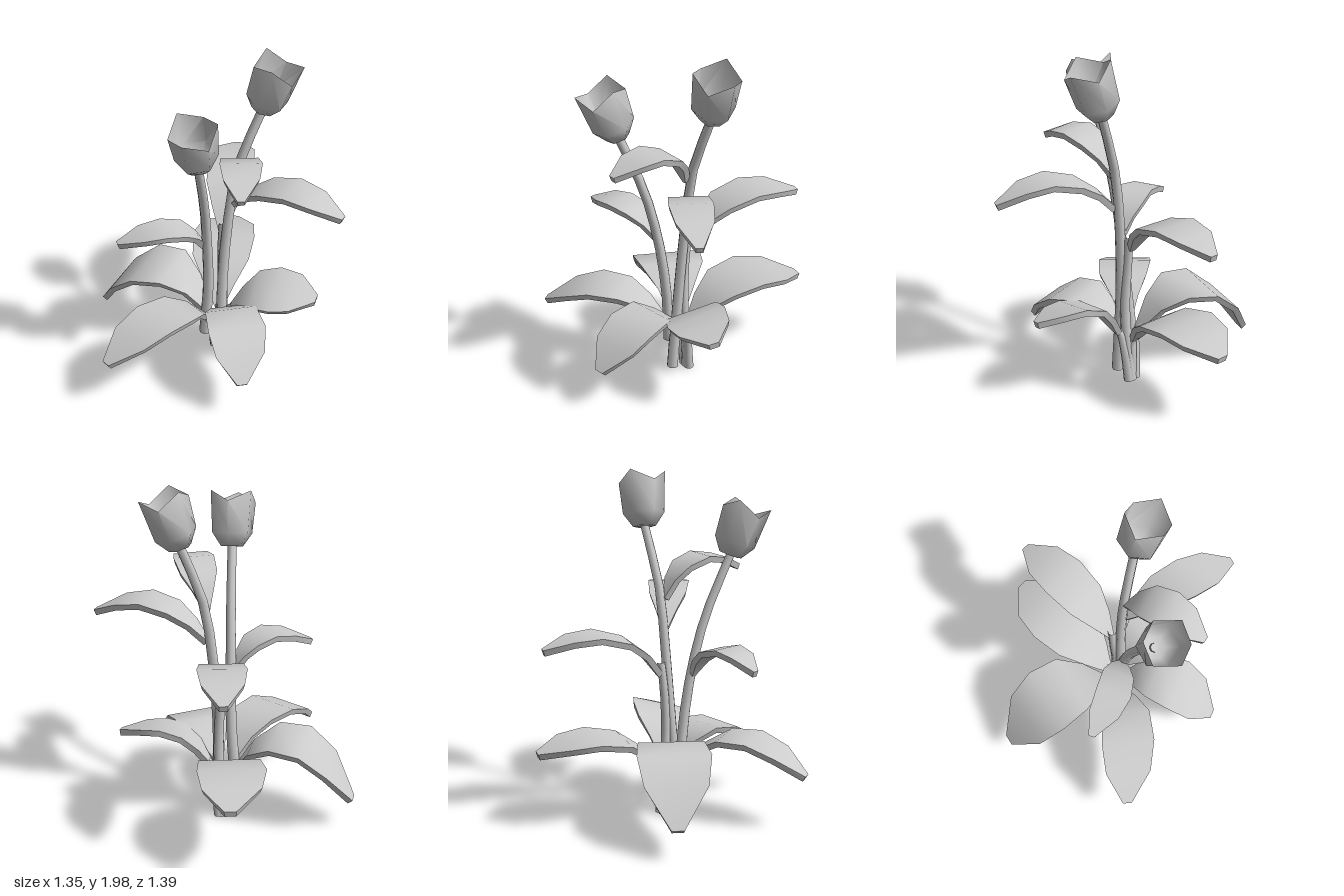
import * as THREE from 'three';
import { toCreasedNormals } from 'three/addons/utils/BufferGeometryUtils.js';

const material = new THREE.MeshStandardMaterial({ color: 0xcccccc });
const openMaterial = new THREE.MeshStandardMaterial({ color: 0xcccccc, side: THREE.DoubleSide });
const vec = (p) => new THREE.Vector3(...p);
const curveOf = (points) => new THREE.CatmullRomCurve3(points.map(vec));

function addMesh(group, name, geometry, mat = material) {
  const mesh = new THREE.Mesh(geometry, mat);
  mesh.name = name;
  group.add(mesh);
  return mesh;
}

// Round stalk along a smooth path, closed at the bottom, slimmer towards the top
function addStalk(group, name, points, r0, r1) {
  const curve = curveOf(points), rows = 9, sides = 8;
  const geo = new THREE.TubeGeometry(curve, rows, 1, sides, false);
  const pos = geo.attributes.position;
  for (let i = 0; i < pos.count; i++) {
    const t = Math.floor(i / (sides + 1)) / rows;
    const c = curve.getPointAt(t);
    const p = new THREE.Vector3().fromBufferAttribute(pos, i).sub(c);
    p.multiplyScalar(THREE.MathUtils.lerp(r0, r1, t)).add(c);
    pos.setXYZ(i, p.x, p.y, p.z);
  }
  addMesh(group, name, geo);
  const end = addMesh(group, name + 'End', new THREE.CircleGeometry(r0, sides));
  end.position.copy(curve.getPointAt(0));
  end.quaternion.setFromUnitVectors(new THREE.Vector3(0, 0, 1), curve.getTangentAt(0).negate());
}

// Thick arching blade: rectangular sections along a spine, blunt at the tip
const STATIONS = [0, 0.2, 0.4, 0.6, 0.8, 1];
const WIDTHS = [0.13, 0.52, 0.9, 1, 0.85, 0.17];
function addLeaf(group, name, spine, width, roll = 0) {
  const curve = curveOf(spine), thick = 0.035;
  const heading = vec(spine.at(-1)).sub(vec(spine[0])).setY(0).normalize();
  const verts = [], index = [];
  STATIONS.forEach((t, i) => {
    const c = curve.getPoint(t), tangent = curve.getTangent(t);
    const side = heading.clone().cross(new THREE.Vector3(0, 1, 0)).applyAxisAngle(tangent, roll * Math.min(1, t * 2));
    const normal = side.clone().cross(tangent).normalize();
    const half = (width * WIDTHS[i]) / 2;
    for (const [s, d] of [[-1, 0], [1, 0], [0.93, -thick], [-0.93, -thick]]) {
      verts.push(...c.clone().addScaledVector(side, s * half).addScaledVector(normal, d).toArray());
    }
    if (i === 0) return;
    for (let k = 0; k < 4; k++) {
      const a = (i - 1) * 4 + k, b = (i - 1) * 4 + ((k + 1) % 4);
      index.push(a, b, b + 4, a, b + 4, a + 4);
    }
  });
  const e = (STATIONS.length - 1) * 4;
  index.push(0, 2, 1, 0, 3, 2, e, e + 1, e + 2, e, e + 2, e + 3);
  const geo = new THREE.BufferGeometry();
  geo.setAttribute('position', new THREE.Float32BufferAttribute(verts, 3));
  geo.setIndex(index);
  addMesh(group, name, toCreasedNormals(geo, 0.7));
}

// Six-sided cup whose rim alternates between petal points and dips
function addBlossom(group, name, base, top) {
  const profile = [[0, 0], [0.065, 0], [0.118, 0.075], [0.133, 0.25]].map((p) => new THREE.Vector2(...p));
  const geo = new THREE.LatheGeometry(profile, 6, Math.PI / 6);
  const pos = geo.attributes.position;
  for (let i = 0; i < pos.count; i++) {
    const column = Math.floor(i / profile.length);
    if (i % profile.length === 3 && column % 2 === 0) pos.setY(i, 0.31);
  }
  geo.computeVertexNormals();
  const cup = addMesh(group, name, toCreasedNormals(geo, 1.1), openMaterial);
  cup.position.copy(vec(base));
  cup.quaternion.setFromUnitVectors(new THREE.Vector3(0, 1, 0), vec(top).sub(vec(base)).normalize());
}

export function createModel() {
  const plant = new THREE.Group();
  plant.name = 'tulipPlant';

  // Blossoms
  addBlossom(plant, 'frontBlossom', [0.195, 1.53, 0.15], [0.26, 1.82, 0.233]);
  addBlossom(plant, 'backBlossom', [0.105, 1.67, -0.345], [0.18, 1.97, -0.4]);

  // Main stems
  addStalk(plant, 'frontStem', [[-0.03, 0.18, -0.06], [0.01, 0.55, -0.055], [0.045, 0.87, -0.02],
    [0.1, 1.18, 0.04], [0.2, 1.55, 0.157]], 0.033, 0.025);
  addStalk(plant, 'backStem', [[0.055, 0.05, -0.115], [0.03, 0.6, -0.145], [0.035, 1.05, -0.185],
    [0.055, 1.33, -0.225], [0.11, 1.69, -0.35]], 0.033, 0.025);
  addStalk(plant, 'leafStem', [[-0.03, 0.02, -0.18], [0.005, 0.45, -0.165], [-0.01, 0.75, -0.165],
    [-0.02, 0.92, -0.18]], 0.033, 0.024);

  // Lower leaves, each with a short stalk from the crown: root, spine, width, roll
  const lower = {
    BackLeft: [[-0.03, 0.02, -0.17], [[-0.04, 0.3, -0.17], [-0.18, 0.48, -0.28], [-0.4, 0.54, -0.48], [-0.57, 0.47, -0.675]], 0.38],
    Left: [[-0.05, 0.02, -0.15], [[-0.05, 0.3, -0.11], [-0.22, 0.53, -0.02], [-0.46, 0.5, 0.13], [-0.66, 0.2, 0.245]], 0.41],
    Front: [[-0.03, 0.18, -0.07], [[0, 0.33, -0.05], [0.05, 0.5, 0.13], [0.065, 0.51, 0.42], [0.055, 0.35, 0.69]], 0.31],
    Right: [[0.05, 0.05, -0.11], [[0.04, 0.32, -0.12], [0.19, 0.5, -0.07], [0.42, 0.47, 0.03], [0.585, 0.28, 0.125]], 0.33],
    BackRight: [[-0.02, 0.02, -0.19], [[0.03, 0.34, -0.19], [0.15, 0.51, -0.25], [0.31, 0.56, -0.36], [0.46, 0.53, -0.5]], 0.34, 0.25],
  };
  for (const [place, [root, spine, width, roll]] of Object.entries(lower)) {
    const [x, y, z] = spine[0], next = spine[1];
    const into = [0, 1, 2].map((i) => spine[0][i] * 0.75 + next[i] * 0.25);
    into[1] -= 0.025;
    const middle = [(root[0] + x) / 2, root[1] * 0.4 + y * 0.6, (root[2] + z) / 2];
    addStalk(plant, 'lowerStalk' + place, [root, middle, [x, y - 0.02, z], into], 0.03, 0.022);
    addLeaf(plant, 'lowerLeaf' + place, spine, width, roll);
  }

  // Upper leaves growing from the stems
  addLeaf(plant, 'upperLeafRight', [[0.05, 1.1, -0.19], [0.2, 1.25, -0.25], [0.44, 1.31, -0.36], [0.66, 1.21, -0.48]], 0.24);
  addLeaf(plant, 'upperLeafTop', [[0.05, 1.28, -0.2], [0.14, 1.44, -0.16], [0.31, 1.51, -0.05], [0.475, 1.43, 0.075]], 0.23);
  addLeaf(plant, 'upperLeafLeft', [[-0.02, 0.86, -0.17], [-0.13, 1.04, -0.28], [-0.33, 1.12, -0.48], [-0.51, 1.05, -0.66]], 0.27);
  addLeaf(plant, 'upperLeafFront', [[0.035, 0.87, -0.02], [0.02, 1.0, 0.08], [-0.03, 1.05, 0.27], [-0.145, 0.97, 0.46]], 0.2);

  return plant;
}
